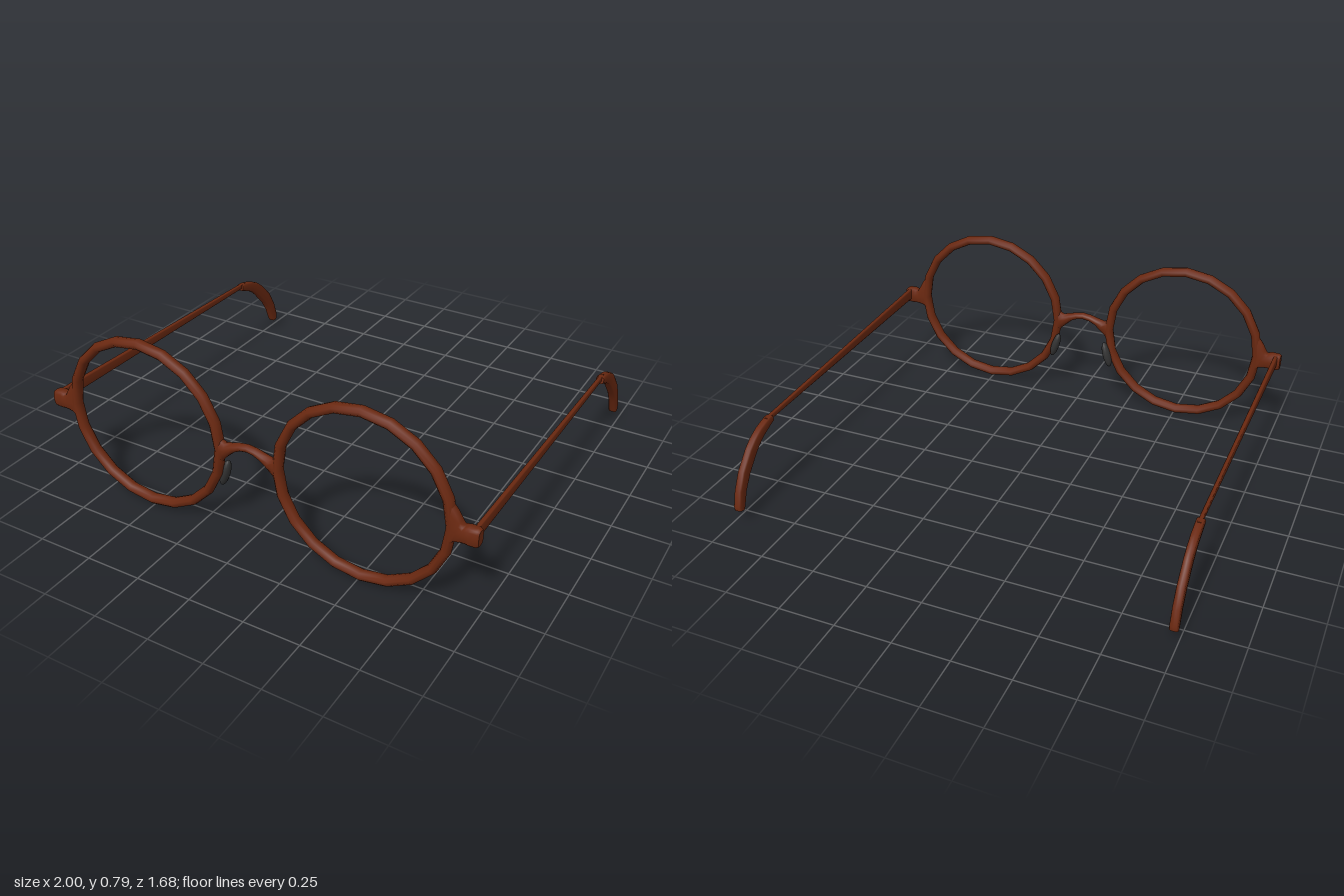
import * as THREE from 'three';

const brown = new THREE.MeshStandardMaterial({ color: 0x6a2810 });
const dark = new THREE.MeshStandardMaterial({ color: 0x333333 });
const Z = 0.817;
const SIDES = 12;

// Loft along a planar path. Each station is [point, half height in plane, half depth along w].
// A lower power gives a boxier section.
function loft(stations, w, power = 1) {
  const pos = [], index = [];
  const last = stations.length - 1;
  const soft = (v) => Math.sign(v) * Math.abs(v) ** power;
  const ring = (i) => {
    const [p, a, b] = stations[i];
    const t = stations[Math.min(i + 1, last)][0].clone()
      .sub(stations[Math.max(i - 1, 0)][0]).normalize();
    const n = w.clone().cross(t);
    for (let j = 0; j < SIDES; j++) {
      const q = (j / SIDES) * Math.PI * 2;
      const v = p.clone().addScaledVector(n, a * soft(Math.cos(q))).addScaledVector(w, b * soft(Math.sin(q)));
      pos.push(v.x, v.y, v.z);
    }
  };
  for (let i = 0; i <= last; i++) ring(i);
  for (let i = 0; i < last; i++) {
    for (let j = 0; j < SIDES; j++) {
      const k = (j + 1) % SIDES;
      const a = i * SIDES + j, b = i * SIDES + k;
      index.push(a, b, a + SIDES, b, b + SIDES, a + SIDES);
    }
  }
  // End caps with their own corners, so the edge stays sharp
  for (const i of [0, last]) {
    const base = pos.length / 3;
    ring(i);
    pos.push(...stations[i][0].toArray());
    for (let j = 0; j < SIDES; j++) {
      const a = base + j, b = base + (j + 1) % SIDES;
      index.push(base + SIDES, ...(i === 0 ? [b, a] : [a, b]));
    }
  }
  const geometry = new THREE.BufferGeometry();
  geometry.setAttribute('position', new THREE.Float32BufferAttribute(pos, 3));
  geometry.setIndex(index);
  geometry.computeVertexNormals();
  return geometry;
}

export function createModel() {
  const model = new THREE.Group();
  const add = (name, geometry, material = brown) => {
    const mesh = new THREE.Mesh(geometry, material);
    mesh.name = name;
    model.add(mesh);
    return mesh;
  };
  const V = (x, y, z) => new THREE.Vector3(x, y, z);
  const X = V(1, 0, 0), ZAX = V(0, 0, 1);

  // Arched bridge, flaring into both rims: [x, y, half height, half depth]
  const half = [
    [0.145, 0.405, 0.085, 0.024], [0.125, 0.407, 0.047, 0.024], [0.1, 0.413, 0.028, 0.024],
    [0.07, 0.429, 0.019, 0.022], [0.035, 0.442, 0.016, 0.02],
  ];
  const bridge = [
    ...half.map(([x, ...r]) => [-x, ...r]),
    [0, 0.447, 0.016, 0.019],
    ...half.slice().reverse(),
  ];
  add('bridge', loft(bridge.map(([x, y, a, b]) => [V(x, y, Z), a, b]), ZAX));

  for (const [s, side] of [[1, 'left'], [-1, 'right']]) {
    // Round rim
    const rim = new THREE.TorusGeometry(0.374, 0.0215, 10, 20);
    rim.scale(1, 1, 1.25);
    rim.translate(s * 0.511, 0.4, Z);
    add(side + 'Rim', rim);

    // End piece, flaring out of the rim to a square hinge block
    const end = [
      [0.876, 0.4, 0.115, 0.024], [0.893, 0.4, 0.08, 0.026], [0.91, 0.395, 0.05, 0.027],
      [0.93, 0.39, 0.036, 0.027], [0.945, 0.392, 0.037, 0.028], [0.958, 0.393, 0.04, 0.028],
      [0.99, 0.393, 0.039, 0.027], [1, 0.393, 0.033, 0.022],
    ];
    add(side + 'EndPiece', loft(end.map(([x, y, a, b]) => [V(s * x, y, Z), a, b]), ZAX, 0.6));

    // Thin tapering temple arm
    add(side + 'Temple', loft([
      [V(s * 0.977, 0.402, 0.81), 0.028, 0.01],
      [V(s * 0.977, 0.371, -0.56), 0.011, 0.009],
    ], X, 0.45));

    // Curved ear tip: [z, y, half thickness]
    const tip = [
      [-0.527, 0.366, 0.016], [-0.545, 0.363, 0.02], [-0.609, 0.341, 0.026], [-0.655, 0.315, 0.029],
      [-0.69, 0.286, 0.031], [-0.755, 0.214, 0.031], [-0.795, 0.144, 0.028],
      [-0.816, 0.078, 0.025], [-0.82, 0.06, 0.018],
    ];
    add(side + 'EarTip', loft(tip.map(([z, y, a]) => [V(s * 0.978, y, z), a, 0.0185]), X, 0.55));

    // Nose pad
    const pad = add(side + 'NosePad', new THREE.SphereGeometry(1, 14, 10), dark);
    pad.scale.set(0.02, 0.067, 0.026);
    pad.position.set(s * 0.139, 0.27, 0.79);
    pad.rotation.z = s * 0.28;
  }
  return model;
}
